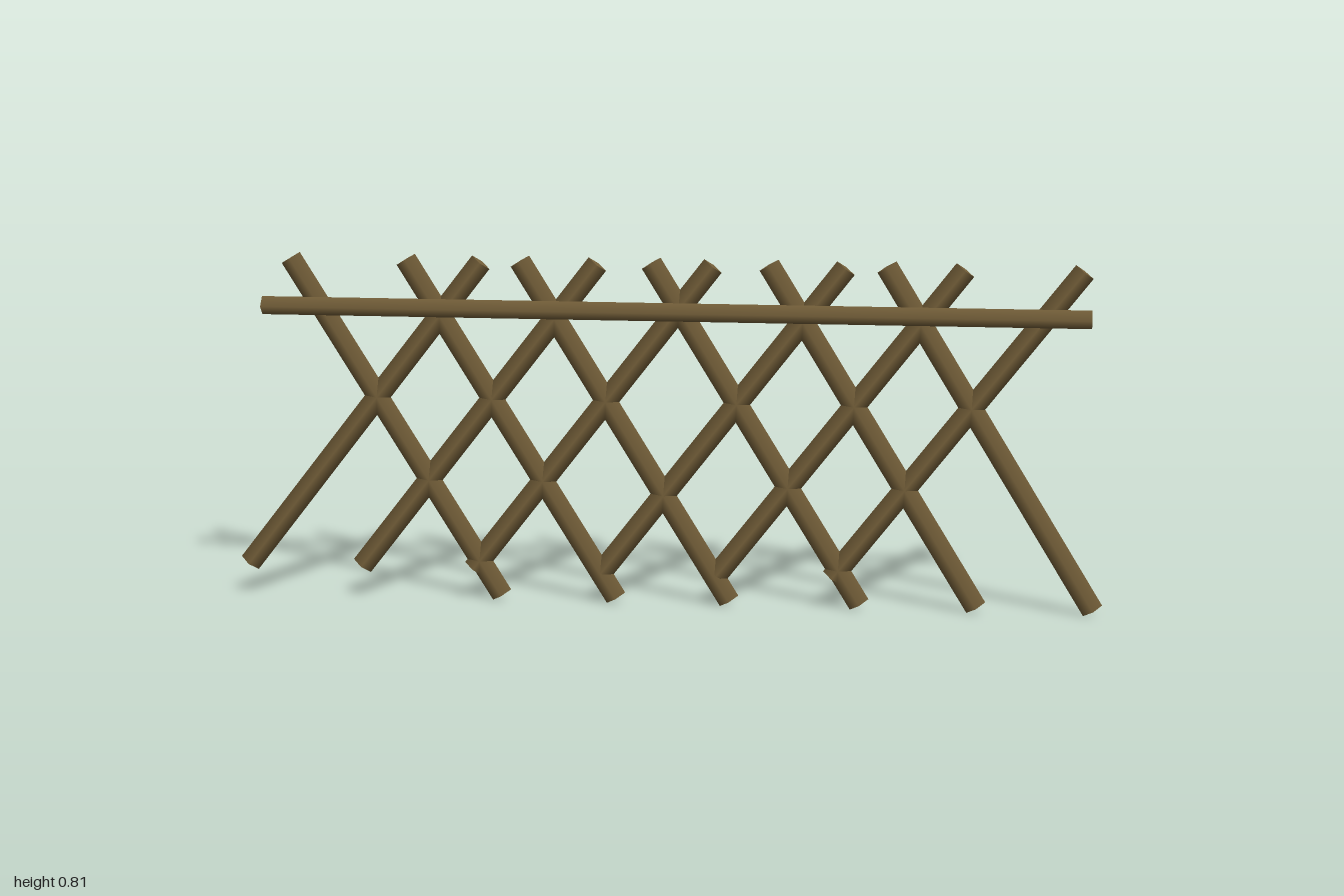
import * as THREE from 'three';

export function createModel() {
  const group = new THREE.Group();
  const wood = new THREE.MeshStandardMaterial({ color: 0x75603a });
  wood.name = 'weathered wood';

  // Four-sided pole between two points in the xy plane, with a corner facing front
  function pole(name, x1, y1, x2, y2, z, width, depth) {
    const dx = x2 - x1, dy = y2 - y1;
    const geometry = new THREE.CylinderGeometry(1, 1, Math.hypot(dx, dy), 4);
    geometry.scale(width, 1, depth);
    const mesh = new THREE.Mesh(geometry, wood);
    mesh.name = name;
    mesh.position.set((x1 + x2) / 2, (y1 + y2) / 2, z);
    mesh.rotation.z = Math.atan2(dy, dx) - Math.PI / 2;
    group.add(mesh);
  }

  // Crossed lattice poles, slightly unevenly spaced
  [0, 0.267, 0.53, 0.83, 1.097, 1.362].forEach((s, i) => {
    pole('fallingPole' + (i + 1), -0.384 + s, 0.014, -0.864 + s, 0.799, -0.01, 0.025, 0.016);
    pole('risingPole' + (i + 1), -0.98 + s, 0.075, -0.424 + s, 0.795, -0.01, 0.025, 0.016);
  });

  // Horizontal rail across the front
  pole('topRail', -0.93, 0.69, 0.957, 0.69, 0.006, 0.021, 0.021);

  return group;
}
